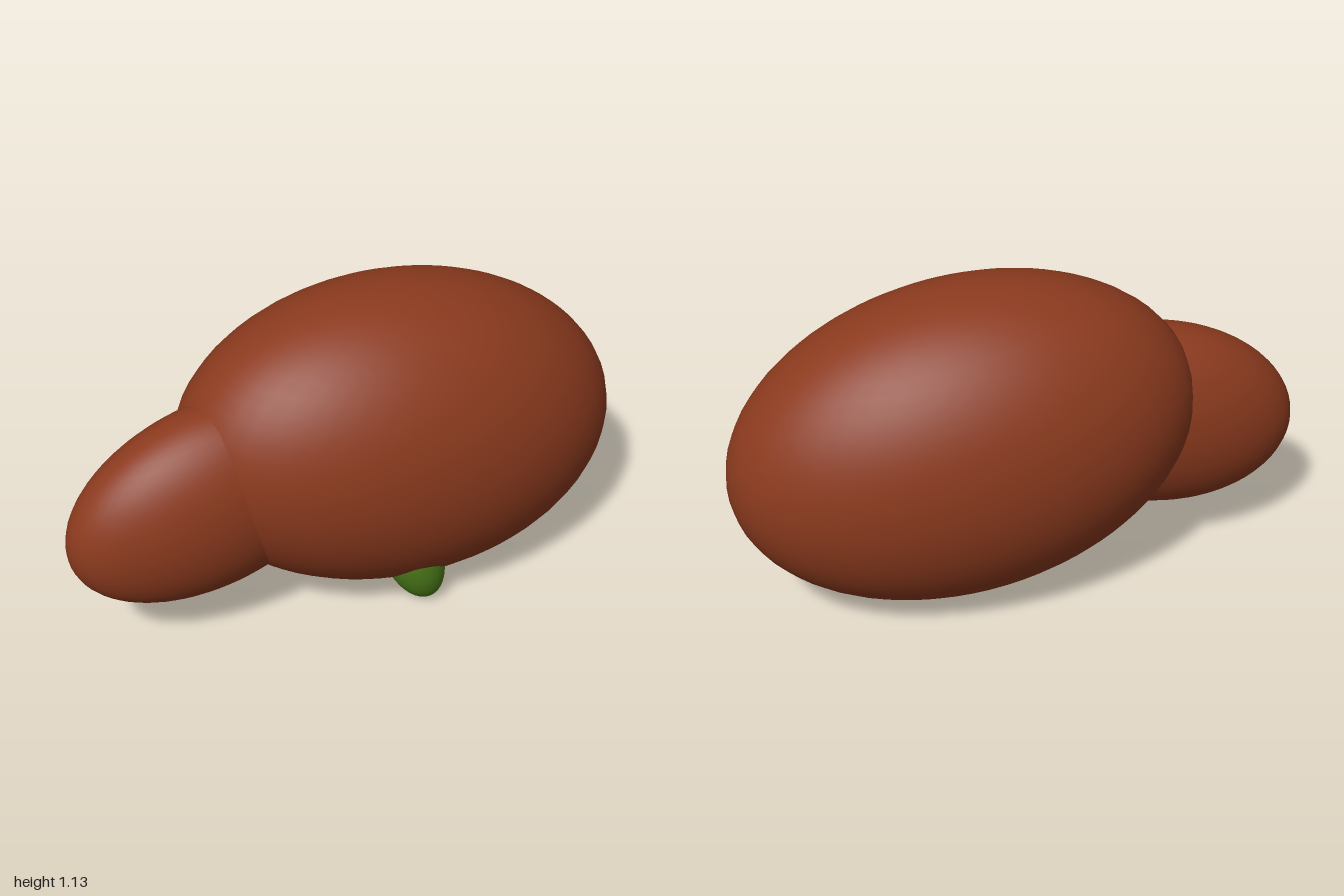
import * as THREE from 'three';

const brown = new THREE.MeshStandardMaterial({ color: 0x8b3a1e });
const green = new THREE.MeshStandardMaterial({ color: 0x4f7f1a });

// Smooth ellipsoid given by its centre, half-axes and tilt about z in degrees
function ellipsoid(name, material, centre, radii, tilt) {
  const geometry = new THREE.SphereGeometry(1, 48, 32);
  geometry.scale(...radii); // baking the scale also corrects the normals
  const mesh = new THREE.Mesh(geometry, material);
  mesh.name = name;
  mesh.position.set(...centre);
  mesh.rotation.z = THREE.MathUtils.degToRad(tilt);
  return mesh;
}

export function createModel() {
  const model = new THREE.Group();
  model.name = 'model';
  model.add(
    // Large main body, drooping slightly towards +x
    ellipsoid('body', brown, [0.2, 0.575, 0], [0.805, 0.553, 0.46], -8.7),
    // Flatter lobe sunk into the body's end
    ellipsoid('endLobe', brown, [-0.5, 0.53, 0.043], [0.509, 0.337, 0.223], 14.4),
    // Small green bud poking out beneath the front
    ellipsoid('bud', green, [0.142, 0.203, 0.24], [0.101, 0.209, 0.104], 19.6),
  );
  return model;
}
